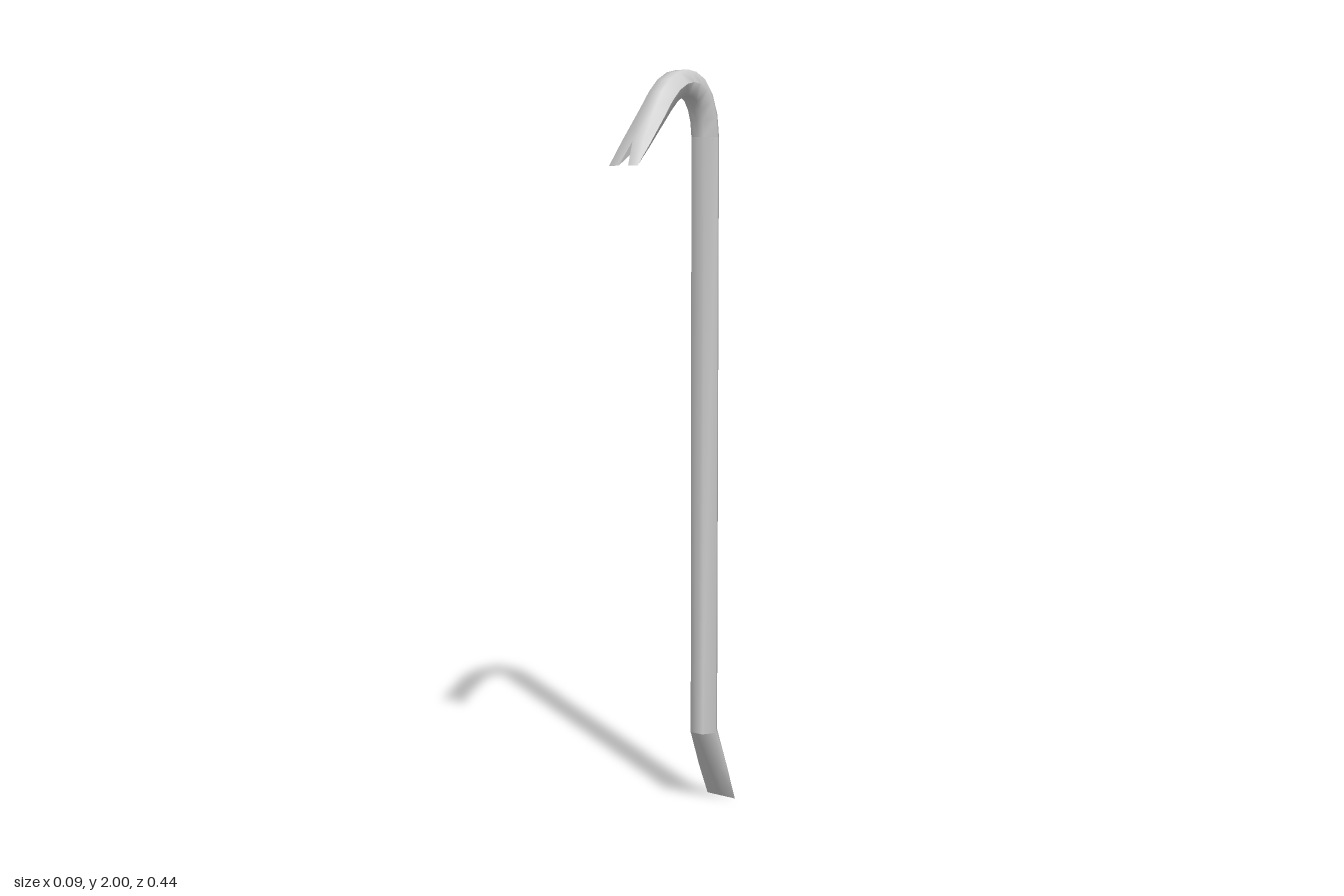
import * as THREE from 'three';
import { toCreasedNormals } from 'three/addons/utils/BufferGeometryUtils.js';

const material = new THREE.MeshStandardMaterial({ color: 0xcccccc });

// Cross-section: outer edge (z, y), inner edge (z, y), half width, half flat, half notch
const section = (oz, oy, iz, iy, w = 0.04, f = 0.02, g = 0) => ({ oz, oy, iz, iy, w, f, g });

// Half of the hexagonal ring, on side sx (+1 or -1)
function halfRing(s, sx) {
  const mz = (s.oz + s.iz) / 2, my = (s.oy + s.iy) / 2;
  return [
    [s.g, s.oy, s.oz], [s.f, s.oy, s.oz], [s.w, my, mz],
    [s.f, s.iy, s.iz], [s.g, s.iy, s.iz],
  ].map(([x, y, z]) => new THREE.Vector3(sx * x, y, z));
}

// Loft mirrored halves; notch walls are added only where the halves part
function loft(name, sections) {
  const positions = [];
  const tri = (a, b, c, flip) => {
    if (new THREE.Triangle(a, b, c).getArea() < 1e-8) return;
    for (const p of flip ? [a, c, b] : [a, b, c]) positions.push(p.x, p.y, p.z);
  };
  for (const sx of [1, -1]) {
    for (let i = 0; i < sections.length - 1; i++) {
      const lo = halfRing(sections[i], sx), hi = halfRing(sections[i + 1], sx);
      const notched = sections[i].g > 0 || sections[i + 1].g > 0;
      for (let j = 0; j < (notched ? 5 : 4); j++) {
        const k = (j + 1) % 5;
        tri(lo[j], hi[j], lo[k], sx < 0);
        tri(lo[k], hi[j], hi[k], sx < 0);
      }
    }
  }
  const geometry = new THREE.BufferGeometry();
  geometry.setAttribute('position', new THREE.Float32BufferAttribute(positions, 3));
  const mesh = new THREE.Mesh(toCreasedNormals(geometry, 1.1), material);
  mesh.name = name;
  return mesh;
}

export function createModel() {
  const group = new THREE.Group();
  group.name = 'pryBar';
  const shaftBottom = section(-0.17, 0.21, -0.1, 0.21);
  const shaftTop = section(-0.17, 1.83, -0.1, 1.83);

  // Flat chisel foot, bent backwards
  group.add(loft('chisel', [
    section(-0.22, 0, -0.22, 0, 0.047, 0.047),
    section(-0.195, 0.1, -0.162, 0.1, 0.047, 0.036),
    shaftBottom,
  ]));

  // Straight hexagonal bar
  group.add(loft('shaft', [shaftBottom, shaftTop]));

  // Curved neck flattening into the forked claw
  group.add(loft('hookAndClaw', [
    shaftTop,
    section(-0.162, 1.89, -0.095, 1.87),
    section(-0.14, 1.942, -0.084, 1.9),
    section(-0.105, 1.979, -0.068, 1.922),
    section(-0.066, 1.996, -0.05, 1.932),
    section(-0.03, 2.0, -0.03, 1.935),
    section(0.01, 1.992, -0.01, 1.931),
    section(0.05, 1.972, 0.015, 1.918),
    section(0.085, 1.94, 0.045, 1.893, 0.04, 0.021),
    section(0.12, 1.895, 0.08, 1.862, 0.042, 0.024),
    section(0.182, 1.813, 0.155, 1.8, 0.045, 0.034),
    section(0.22, 1.752, 0.22, 1.752, 0.045, 0.045, 0.015),
  ]));
  return group;
}
